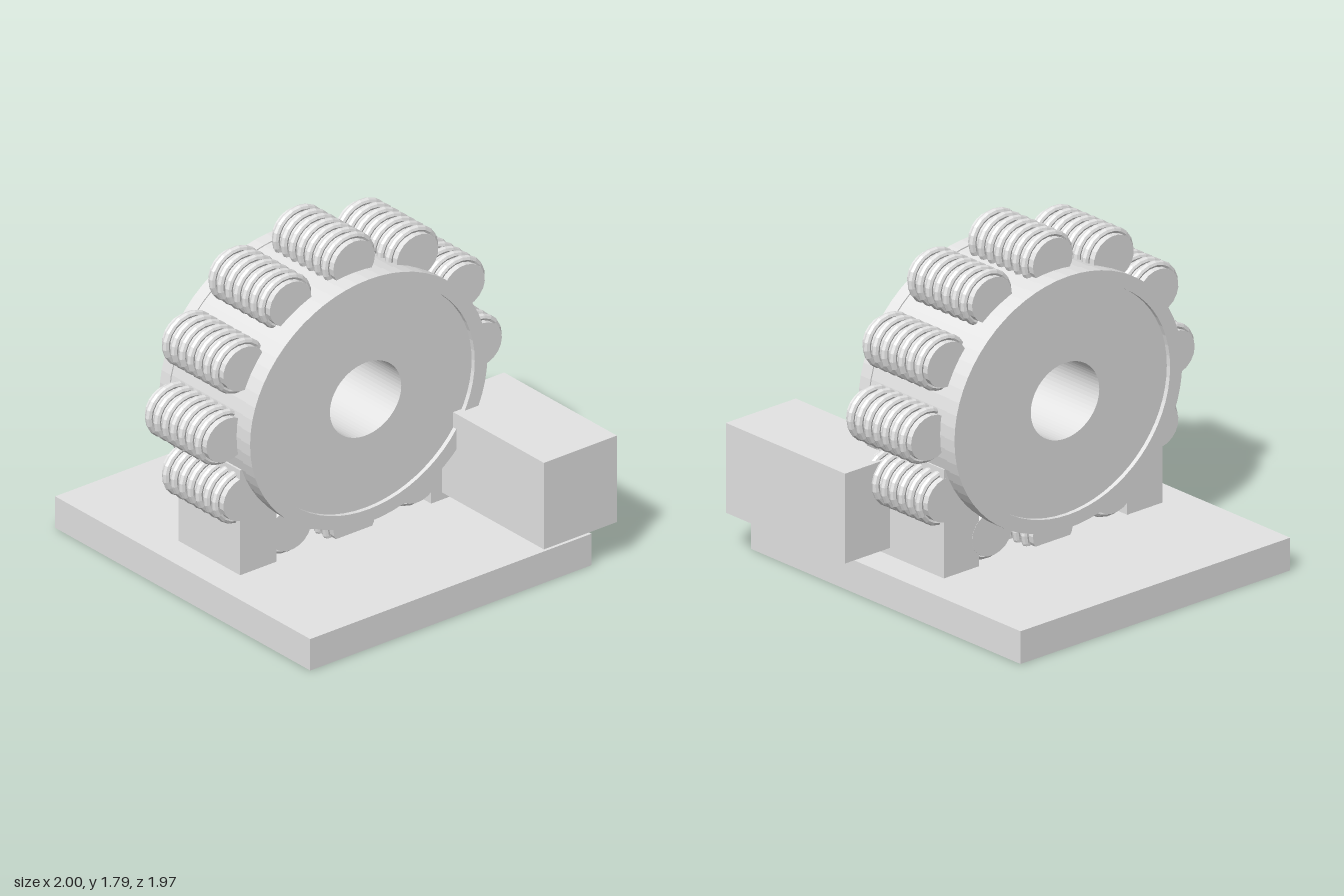
import * as THREE from 'three';
import { toCreasedNormals } from 'three/addons/utils/BufferGeometryUtils.js';

export function createModel() {
  const model = new THREE.Group();
  model.name = 'rollerWheelMachine';
  const grey = new THREE.MeshStandardMaterial({ color: 0xe4e4e4 });
  grey.name = 'light grey';

  const add = (parent, name, geometry) => {
    const mesh = new THREE.Mesh(geometry, grey);
    mesh.name = name;
    parent.add(mesh);
    return mesh;
  };

  // Gives every facet its own normal
  const faceted = (geometry) => toCreasedNormals(geometry, 0.05);

  // Box given by its minimum and maximum corners
  const box = (name, min, max) => {
    const size = max.map((v, i) => v - min[i]);
    const mesh = add(model, name, new THREE.BoxGeometry(...size));
    mesh.position.set(...max.map((v, i) => (v + min[i]) / 2));
  };

  // Base, the two roller cradles and the drive housing
  box('basePlate', [-1, 0, -0.86], [0.957, 0.172, 0.905]);
  box('frontSupport', [-0.255, 0.172, 0.51], [0.217, 0.745, 0.74]);
  box('backSupport', [-0.255, 0.172, -0.69], [0.217, 0.745, -0.46]);
  box('driveHousing', [0.135, 0.212, -0.985], [1, 0.685, -0.527]);

  // Wheel assembly turns about x and is slightly flattened in height
  const wheel = new THREE.Group();
  wheel.name = 'wheelAssembly';
  wheel.position.set(-0.02, 0.936, 0.023);
  wheel.scale.y = 0.89;
  model.add(wheel);

  // Drum: raised flanges, shallow recessed side faces and a through bore
  const profile = [
    [0.224, -0.324], [0.666, -0.324], [0.666, -0.348], [0.745, -0.348],
    [0.745, -0.277], [0.738, -0.277], [0.738, 0.277], [0.745, 0.277],
    [0.745, 0.348], [0.666, 0.348], [0.666, 0.324], [0.224, 0.324], [0.224, -0.324],
  ].map(([r, h]) => new THREE.Vector2(r, h));
  add(wheel, 'drum', faceted(new THREE.LatheGeometry(profile, 64).rotateZ(-Math.PI / 2)));

  // Twelve rollers around the rim, each a core with seven ribs
  const core = faceted(new THREE.CylinderGeometry(0.131, 0.131, 0.472, 20).rotateZ(Math.PI / 2));
  const rib = faceted(new THREE.TorusGeometry(0.143, 0.02, 8, 20).rotateY(Math.PI / 2));
  for (let i = 0; i < 12; i++) {
    const angle = (i * Math.PI) / 6;
    const roller = new THREE.Group();
    roller.name = `roller${i + 1}`;
    roller.position.set(0, 0.797 * Math.cos(angle), 0.797 * Math.sin(angle));
    roller.rotation.x = angle;
    wheel.add(roller);
    add(roller, 'rollerCore', core);
    for (let j = -3; j <= 3; j++) {
      add(roller, 'rollerRib', rib).position.x = j * 0.063;
    }
  }

  return model;
}
